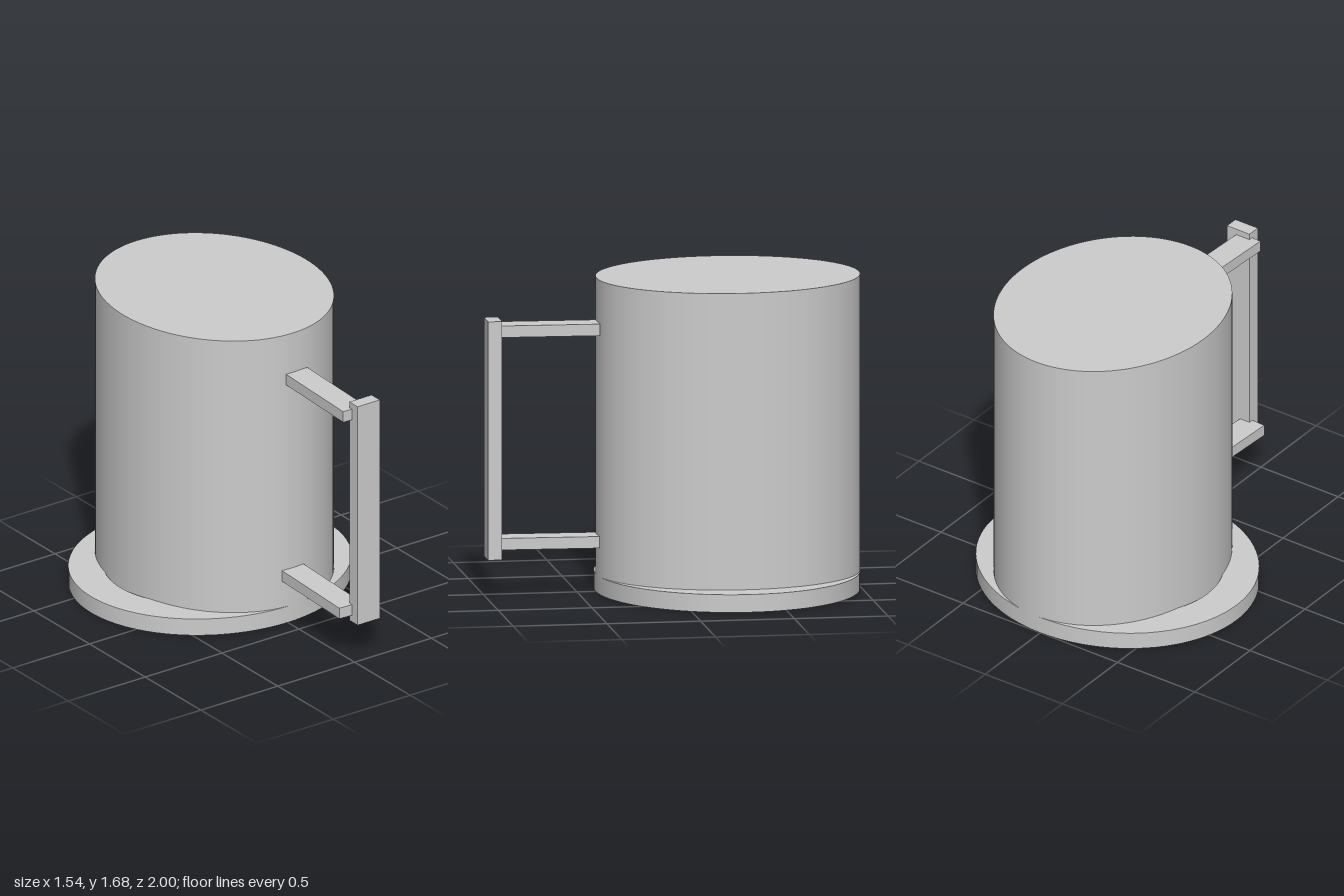
import * as THREE from 'three';
import { toCreasedNormals } from 'three/addons/utils/BufferGeometryUtils.js';

export function createModel() {
  const group = new THREE.Group();
  const grey = new THREE.MeshStandardMaterial({ color: 0xcccccc });
  grey.name = 'light grey';

  const add = (name, geometry, x, y, z) => {
    const mesh = new THREE.Mesh(geometry, grey);
    mesh.name = name;
    mesh.position.set(x, y, z);
    group.add(mesh);
    return mesh;
  };

  // Oval cup body, closed at both ends and sunk slightly into the base ring
  const bottom = 0.07, top = 1.68;
  const body = add('body', new THREE.CylinderGeometry(1, 1, top - bottom, 96),
    0.03, (top + bottom) / 2, -0.3);
  body.scale.set(0.59, 1, 0.7);

  // Flat oval ring under the body, open in the middle
  const outer = 0.77, inner = 0.58, height = 0.095;
  const profile = [[inner, 0], [outer, 0], [outer, height], [inner, height], [inner, 0]]
    .map(([r, y]) => new THREE.Vector2(r, y));
  const ring = add('baseRing', toCreasedNormals(new THREE.LatheGeometry(profile, 96), 0.6), 0, 0, -0.3);
  ring.scale.z = 0.7 / outer;

  // Upright grip of the handle
  add('handleGrip', new THREE.BoxGeometry(0.145, 1.275, 0.075), 0.0925, 0.8475, 0.9625);

  // Two slightly skewed arms joining the grip to the body
  for (const [name, x, y] of [['upperHandleArm', 0.0475, 1.42], ['lowerHandleArm', 0.0225, 0.28]]) {
    const arm = add(name, new THREE.BoxGeometry(0.14, 0.062, 0.556), x, y, 0.672);
    arm.rotation.y = -0.045;
  }

  return group;
}
